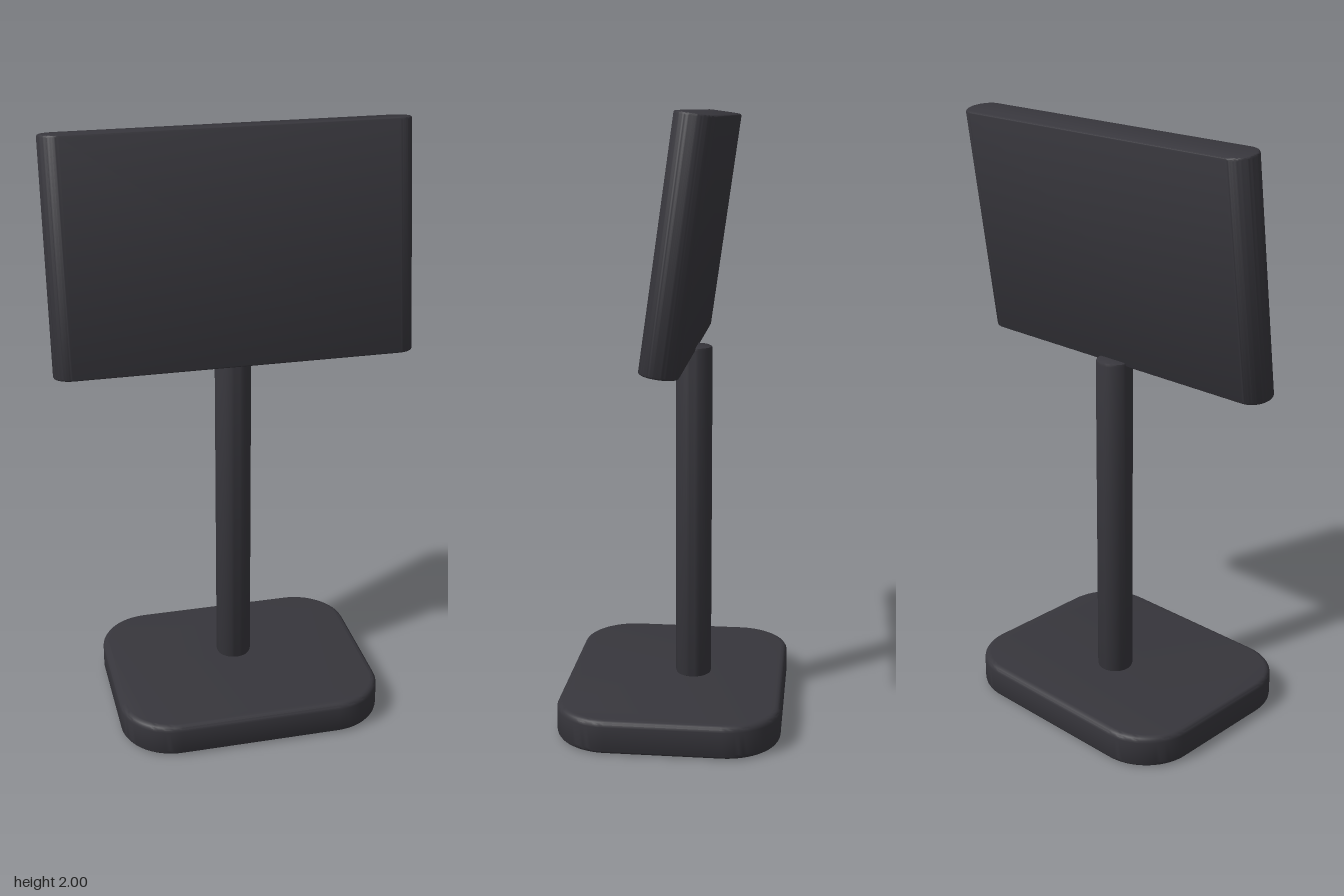
import * as THREE from 'three';
import { toCreasedNormals } from 'three/addons/utils/BufferGeometryUtils.js';

// Slab standing on y = 0: rounded rectangle in plan (w by d), with softened top and bottom rims
function slab(w, d, h, radius, bevel) {
  const x = w / 2 - bevel, y = d / 2 - bevel, r = radius - bevel;
  const shape = new THREE.Shape();
  shape.absarc(x - r, y - r, r, 0, Math.PI / 2);
  shape.absarc(-x + r, y - r, r, Math.PI / 2, Math.PI);
  shape.absarc(-x + r, -y + r, r, Math.PI, Math.PI * 1.5);
  shape.absarc(x - r, -y + r, r, Math.PI * 1.5, Math.PI * 2);
  shape.closePath();
  const geometry = new THREE.ExtrudeGeometry(shape, {
    depth: h - 2 * bevel, curveSegments: 10,
    bevelThickness: bevel, bevelSize: bevel, bevelSegments: 4,
  });
  geometry.translate(0, 0, bevel).rotateX(-Math.PI / 2);
  return toCreasedNormals(geometry, 0.6);
}

export function createModel() {
  const model = new THREE.Group();
  const charcoal = new THREE.MeshStandardMaterial({ color: 0x37363c });
  charcoal.name = 'charcoal';

  const add = (name, geometry, y, z) => {
    const mesh = new THREE.Mesh(geometry, charcoal);
    mesh.name = name;
    mesh.position.set(0, y, z);
    model.add(mesh);
    return mesh;
  };

  // Heavy foot with broad rounded corners
  add('base', slab(0.9, 0.732, 0.113, 0.18, 0.02), 0, 0);

  // Round pole with softened ends, set slightly behind the centre
  const profile = [[0, 0], [0.052, 0], [0.058, 0.003], [0.06, 0.01],
    [0.06, 1.124], [0.058, 1.131], [0.052, 1.134], [0, 1.134]]
    .map(([r, y]) => new THREE.Vector2(r, y));
  add('pole', toCreasedNormals(new THREE.LatheGeometry(profile, 40), 0.6), 0.112, -0.055);

  // Display panel with fully rounded sides, leaning back
  const panelGeometry = slab(1.19, 0.122, 0.76, 0.0605, 0.008);
  panelGeometry.translate(0, -0.38, 0);
  const panel = add('displayPanel', panelGeometry, 1.616, -0.055);
  panel.rotation.x = -0.14;

  return model;
}
